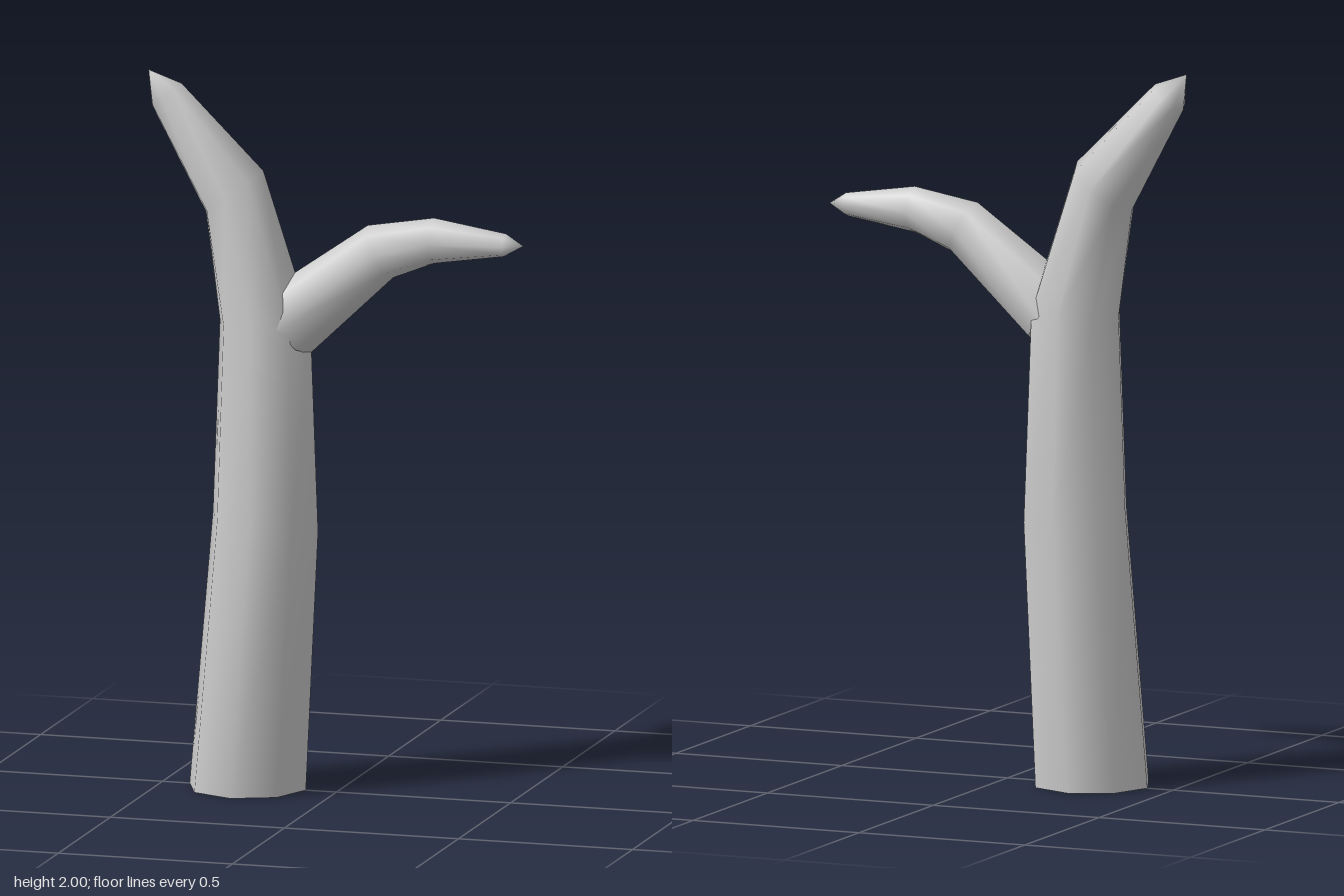
import * as THREE from 'three';

const SIDES = 8;

// Tapered limb: each ring spans two opposite points [ax, ay, bx, by] in the
// z = 0 plane; the limb closes in a point at the tip and a flat cap at the root.
function limb(name, rings, tip, material) {
  const positions = [];
  const index = [];
  const addRing = ([ax, ay, bx, by]) => {
    const ux = (bx - ax) / 2, uy = (by - ay) / 2, r = Math.hypot(ux, uy);
    for (let i = 0; i < SIDES; i++) {
      const t = (i / SIDES) * Math.PI * 2;
      positions.push(
        (ax + bx) / 2 + ux * Math.cos(t),
        (ay + by) / 2 + uy * Math.cos(t),
        r * Math.sin(t));
    }
  };
  rings.forEach(addRing);
  const tipIndex = rings.length * SIDES;
  positions.push(tip[0], tip[1], 0);

  // side walls and pointed end
  rings.forEach((_, k) => {
    for (let i = 0; i < SIDES; i++) {
      const a = k * SIDES + i, b = k * SIDES + (i + 1) % SIDES;
      if (k === rings.length - 1) index.push(a, tipIndex, b);
      else index.push(a, a + SIDES, b, b, a + SIDES, b + SIDES);
    }
  });

  // flat root cap with its own vertices, so the rim stays sharp
  const cap = tipIndex + 1;
  addRing(rings[0]);
  for (let i = 1; i < SIDES - 1; i++) index.push(cap, cap + i, cap + i + 1);

  const geometry = new THREE.BufferGeometry();
  geometry.setAttribute('position', new THREE.Float32BufferAttribute(positions, 3));
  geometry.setIndex(index);
  geometry.computeVertexNormals();
  const mesh = new THREE.Mesh(geometry, material);
  mesh.name = name;
  return mesh;
}

export function createModel() {
  const group = new THREE.Group();
  group.name = 'bareTree';
  const bark = new THREE.MeshStandardMaterial({ color: 0xcccccc });

  // trunk, leaning over to its right at the top
  group.add(limb('trunk', [
    [-0.422, 0, -0.088, 0],
    [-0.355, 0.77, -0.053, 0.73],
    [-0.335, 1.31, -0.075, 1.32],
    [-0.375, 1.61, -0.21, 1.735],
    [-0.53, 1.9, -0.445, 1.967],
  ], [-0.54, 2], bark));

  // side branch, rising from the trunk and bending level
  group.add(limb('branch', [
    [-0.205, 1.395, -0.077, 1.228],
    [0.09, 1.6, 0.163, 1.457],
    [0.28, 1.632, 0.28, 1.504],
    [0.487, 1.6, 0.48, 1.535],
  ], [0.537, 1.568], bark));

  return group;
}
